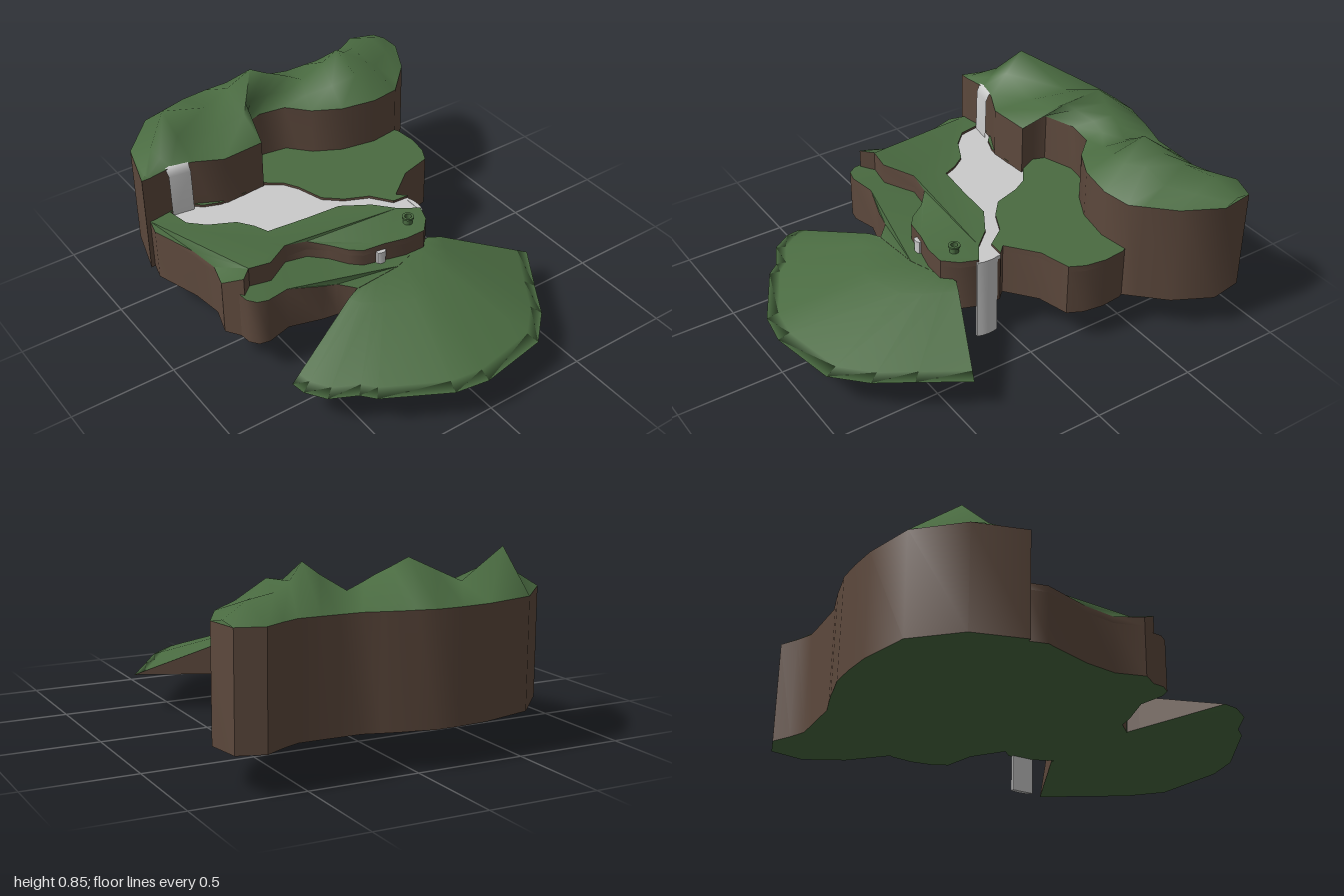
import * as THREE from 'three';
import { toCreasedNormals } from 'three/addons/utils/BufferGeometryUtils.js';

const material = (color) => new THREE.MeshStandardMaterial({ color, roughness: 0.9, side: THREE.DoubleSide });
const grass = material(0x4a6b41);
const rock = material(0x5c483c);
const water = material(0xcccccc);

// Upright solid over an outline of [x, z, topHeight?]
function prism(name, outline, base, top, mats, crease = 0.8) {
  const shape = new THREE.Shape(outline.map(([x, z]) => new THREE.Vector2(x, -z)));
  const geo = new THREE.ExtrudeGeometry(shape, { depth: 1, bevelEnabled: false });
  const p = geo.attributes.position;
  for (let i = 0; i < p.count; i++) {
    const x = p.getX(i), z = -p.getY(i);
    const corner = outline.find((c) => Math.abs(c[0] - x) + Math.abs(c[1] - z) < 1e-4);
    p.setXYZ(i, x, p.getZ(i) > 0.5 ? corner?.[2] ?? top : base, z);
  }
  geo.computeVertexNormals();
  const mesh = new THREE.Mesh(toCreasedNormals(geo, crease), mats);
  mesh.name = name;
  return mesh;
}

// Smooth surface through rows of [x, y, z] cross-sections
function loft(name, rows, mat) {
  const n = rows[0].length, index = [];
  for (let j = 0; j < rows.length - 1; j++) {
    for (let i = 0; i < n - 1; i++) {
      const a = j * n + i, b = a + n;
      index.push(a, b, a + 1, b, b + 1, a + 1);
    }
  }
  const geo = new THREE.BufferGeometry();
  geo.setAttribute('position', new THREE.Float32BufferAttribute(rows.flat(2), 3));
  geo.setIndex(index);
  geo.computeVertexNormals();
  const mesh = new THREE.Mesh(geo, mat);
  mesh.name = name;
  return mesh;
}

const mix = (a, b, t) => a.map((v, i) => v + (b[i] - v) * t);

function createMountain() {
  const group = new THREE.Group();
  group.name = 'mountain';
  const rim = 0.665;
  // Each station: back x z, ridge x z height, front x z
  const stations = [
    [-0.82, -0.5, -0.79, -0.53, 0.665, -0.78, -0.5],
    [-0.75, -0.74, -0.7, -0.63, 0.72, -0.66, -0.52],
    [-0.57, -0.93, -0.59, -0.7, 0.845, -0.56, -0.5],
    [-0.33, -0.99, -0.33, -0.78, 0.725, -0.43, -0.435],
    [-0.2, -1, -0.2, -0.78, 0.785, -0.22, -0.45],
    [-0.08, -1, -0.07, -0.78, 0.845, -0.27, -0.55],
    [0, -0.98, 0, -0.765, 0.81, -0.25, -0.61],
    [0.07, -0.965, 0.07, -0.755, 0.78, -0.1, -0.66],
    [0.14, -0.945, 0.12, -0.75, 0.755, 0.03, -0.64],
    [0.22, -0.92, 0.19, -0.735, 0.72, 0.12, -0.54],
    [0.33, -0.918, 0.3, -0.71, 0.79, 0.25, -0.47],
    [0.4, -0.916, 0.37, -0.69, 0.845, 0.42, -0.44],
    [0.5, -0.915, 0.45, -0.74, 0.78, 0.56, -0.46],
    [0.58, -0.95, 0.54, -0.79, 0.75, 0.61, -0.51],
    [0.67, -1, 0.68, -0.84, 0.74, 0.72, -0.62],
    [0.79, -0.96, 0.8, -0.88, 0.68, 0.815, -0.8],
  ];
  const back = stations.map((s) => [s[0], rim, s[1]]);
  const ridge = stations.map((s) => [s[2], s[4], s[3]]);
  const front = stations.map((s) => [s[5], rim, s[6]]);
  // Spur running forward from the eastern peak
  const slope = ridge.map((r, i) => (i === 12 ? [0.49, 0.775, -0.61] : mix(r, front[i], 0.5)));
  group.add(loft('mountainTop', [back, ridge, slope, front], grass));
  const outline = [...front, ...back.slice().reverse()].map(([x, , z]) => [x, z]);
  group.add(prism('mountainCliff', outline, 0.17, rim, [grass, rock]));
  return group;
}

function createPlateau() {
  const group = new THREE.Group();
  group.name = 'plateau';
  // Western side and front edge, rising to the south-west corner
  const front = [
    [-0.8, -0.5], [-0.82, -0.42], [-0.75, -0.2], [-0.73, -0.05], [-0.77, 0.08, 0.445],
    [-0.71, 0.17, 0.5], [-0.655, 0.12, 0.5], [-0.55, 0.13, 0.49], [-0.42, 0.04, 0.465],
    [-0.31, 0.05, 0.445], [-0.235, 0.115], [-0.18, 0.195], [-0.13, 0.235], [-0.02, 0.25],
    [0.08, 0.275], [0.18, 0.275], [0.24, 0.21], [0.27, 0.13],
  ];
  const east = [
    [0.28, 0.02], [0.24, -0.02], [0.38, -0.13], [0.53, -0.17], [0.565, -0.24], [0.58, -0.34],
    [0.57, -0.44], [0.5, -0.6], [0.1, -0.75], [-0.3, -0.75], [-0.7, -0.6],
  ];
  const southBank = [
    [0.18, 0.07], [0.1, -0.02], [-0.03, -0.1], [-0.2, -0.11], [-0.4, -0.13], [-0.43, -0.2],
    [-0.48, -0.27], [-0.6, -0.33], [-0.67, -0.4], [-0.69, -0.51],
  ];
  const northBank = [
    [-0.58, -0.51], [-0.54, -0.47], [-0.46, -0.44], [-0.33, -0.44], [-0.22, -0.46], [-0.14, -0.4],
    [-0.1, -0.33], [-0.06, -0.2], [0.02, -0.13], [0.13, -0.08], [0.2, 0.015],
  ];
  const flat = (points) => points.map(([x, z]) => [x, z]);
  group.add(prism('plateauBase', flat([...front, ...east]), 0.17, 0.4, [grass, rock]));
  group.add(prism('plateauTop', [...front, ...southBank, ...northBank, ...east], 0.4, 0.43, [grass, rock]));
  group.add(prism('river', [[0.27, 0.13], ...southBank, ...northBank, [0.28, 0.02]], 0.395, 0.418, water));

  // Lower ledge along the south-west foot
  group.add(prism('lowerLedge', [
    [-0.73, 0.09, 0.41], [-0.72, 0.2, 0.41], [-0.69, 0.24, 0.41], [-0.64, 0.25, 0.405],
    [-0.525, 0.22, 0.39], [-0.37, 0.265, 0.36], [-0.3, 0.275, 0.345], [-0.235, 0.34, 0.335],
    [0, 0.32, 0.335], [0.2, 0.25, 0.335], [0, 0.1, 0.335], [-0.2, 0, 0.335], [-0.4, -0.05, 0.365],
    [-0.65, 0, 0.4],
  ], 0.17, 0.335, [grass, rock]));
  return group;
}

function createMeadow() {
  const group = new THREE.Group();
  group.name = 'meadow';
  const rim = [
    [-0.71, 0.53], [-0.7, 0.6], [-0.64, 0.69], [-0.52, 0.75], [-0.47, 0.81], [-0.18, 0.97],
    [-0.02, 0.995], [0.31, 0.935], [0.45, 0.8], [0.55, 0.64], [0.685, 0.43],
  ].map(([x, z]) => [x, 0.17, z]);
  const last = rim.length - 1;
  const inner = rim.map((_, i) => mix([-0.24, 0.335, 0.34], [0.24, 0.335, 0.23], i / last));
  const crest = rim.map((r, i) => {
    const [x, , z] = mix(inner[i], r, 0.13 + 0.23 * Math.sin((Math.PI * i) / last));
    return [x, 0.327, z];
  });
  const lip = rim.map((r, i) => mix(r, crest[i], 0.12));
  const floor = inner.map(([x, , z]) => [x, 0.17, z]);
  group.add(loft('meadowHill', [inner, crest, lip, rim, floor], grass));
  // Bare rock sides
  for (const i of [0, last]) {
    const top = [inner[i], crest[i], rim[i]];
    group.add(loft('meadowSide', [top, top.map(([x, , z]) => [x, 0.17, z])], rock));
  }
  return group;
}

function createWaterfalls() {
  const group = new THREE.Group();
  group.name = 'waterfalls';
  // Upper fall curling over the mountain rim
  group.add(loft('upperFall', [
    [[-0.69, 0.672, -0.57], [-0.58, 0.672, -0.54]],
    [[-0.69, 0.668, -0.52], [-0.58, 0.668, -0.505]],
    [[-0.685, 0.63, -0.5], [-0.58, 0.63, -0.485]],
    [[-0.685, 0.41, -0.495], [-0.58, 0.41, -0.48]],
  ], water));
  // Lower fall dropping past the base
  const fall = prism('lowerFall', [
    [0.265, 0.035], [0.28, 0.035], [0.286, 0.06], [0.287, 0.088], [0.284, 0.115], [0.276, 0.14], [0.265, 0.14],
  ], 0, 0.42, water);
  group.add(fall);
  // Small spring in the front cliff
  group.add(prism('spring', [
    [-0.067, 0.2], [-0.067, 0.258], [-0.055, 0.266], [-0.035, 0.266], [-0.023, 0.258], [-0.023, 0.2],
  ], 0.33, 0.4, water));
  return group;
}

function createWell() {
  const profile = [
    [0.022, 0], [0.022, 0.026], [0.028, 0.028], [0.028, 0.037], [0.016, 0.037], [0.016, 0.004], [0, 0.004],
  ].map(([r, y]) => new THREE.Vector2(r, y));
  const well = new THREE.Mesh(toCreasedNormals(new THREE.LatheGeometry(profile, 16), 0.6), grass);
  well.name = 'well';
  well.position.set(0.155, 0.429, 0.185);
  return well;
}

export function createModel() {
  const model = new THREE.Group();
  model.name = 'floatingLandscape';
  model.add(createMountain(), createPlateau(), createMeadow(), createWaterfalls(), createWell());
  return model;
}
